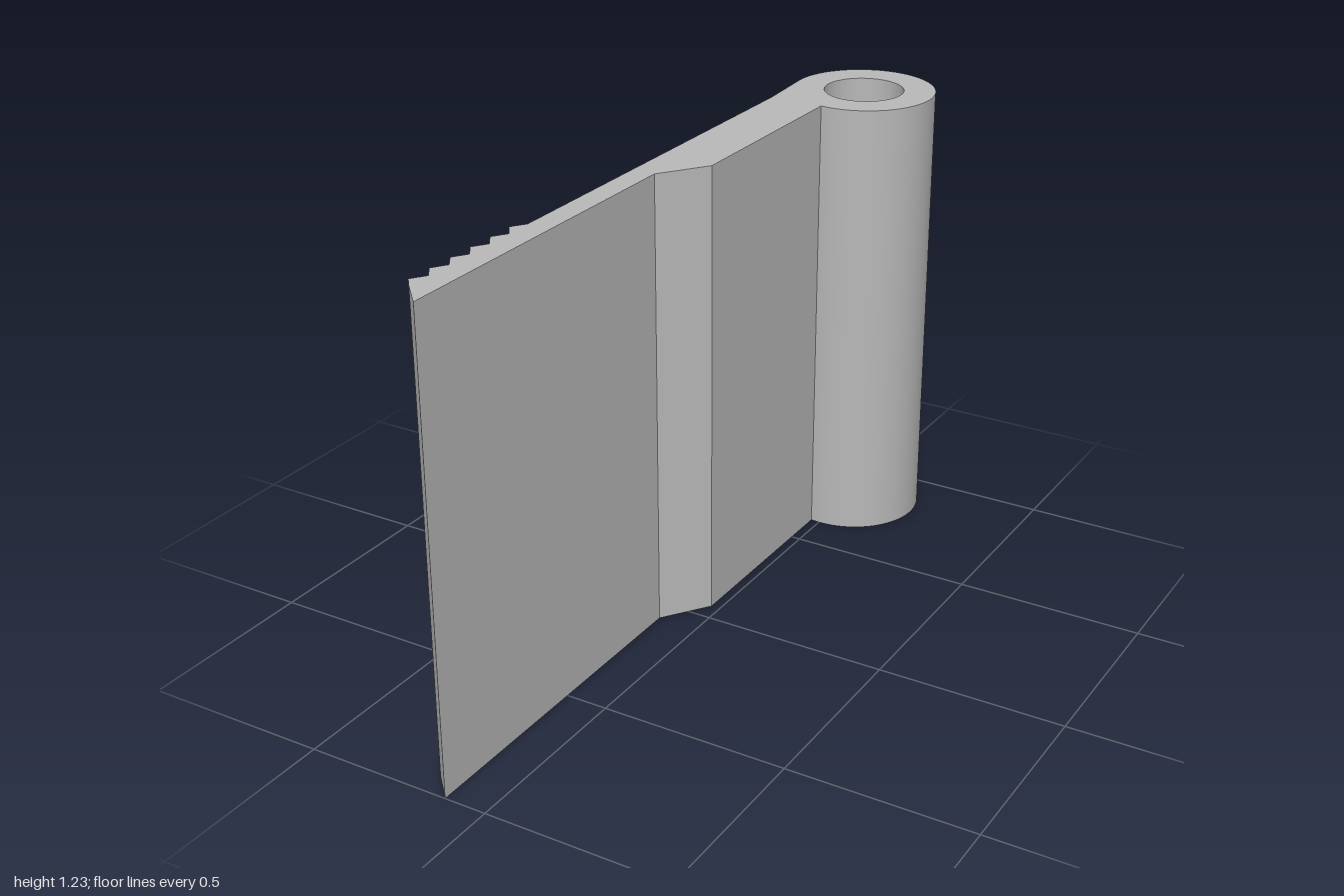
import * as THREE from 'three';
import { toCreasedNormals } from 'three/addons/utils/BufferGeometryUtils.js';

const HEIGHT = 1.23;
const EYE = { x: 0.005, z: -0.808, outer: 0.192, inner: 0.107 };

export function createModel() {
  const group = new THREE.Group();
  group.name = 'hingeLeaf';
  const grey = new THREE.MeshStandardMaterial({ color: 0xb8b8b8 });
  grey.name = 'plainGrey';

  // Plan outline; shape y is -z so the extrusion can be turned upright
  const s = new THREE.Shape();
  const to = (x, z) => s.lineTo(x, -z);

  // Serrated outer face: six teeth from the plate towards the tip
  s.moveTo(-0.175, 0.62);
  const pitch = 0.0728;
  for (let i = 0; i < 6; i++) {
    const peak = 0.54 + i * pitch;
    to(-0.175, peak - pitch / 2);
    to(-0.2, peak);
  }
  to(-0.175, 0.934);

  // Pointed tip, thin blade, chamfered step and thick plate
  to(-0.112, 1);
  to(-0.112, 0.068);
  to(-0.025, -0.055);

  // Round eye, from the plate's inner corner round to the outer tangent
  const start = -Math.PI / 2 - Math.asin((EYE.x + 0.025) / EYE.outer);
  s.absarc(EYE.x, -EYE.z, EYE.outer, start, Math.PI + 0.06, false);
  s.closePath();

  // Pin bore
  const bore = new THREE.Path();
  bore.absarc(EYE.x, -EYE.z, EYE.inner, 0, Math.PI * 2, true);
  s.holes.push(bore);

  // Constant section, extruded upwards
  let geometry = new THREE.ExtrudeGeometry(s, { depth: HEIGHT, bevelEnabled: false, curveSegments: 40 });
  geometry.rotateX(-Math.PI / 2);
  geometry = toCreasedNormals(geometry, 0.3);

  const mesh = new THREE.Mesh(geometry, grey);
  mesh.name = 'serratedPlateWithEye';
  group.add(mesh);
  return group;
}
